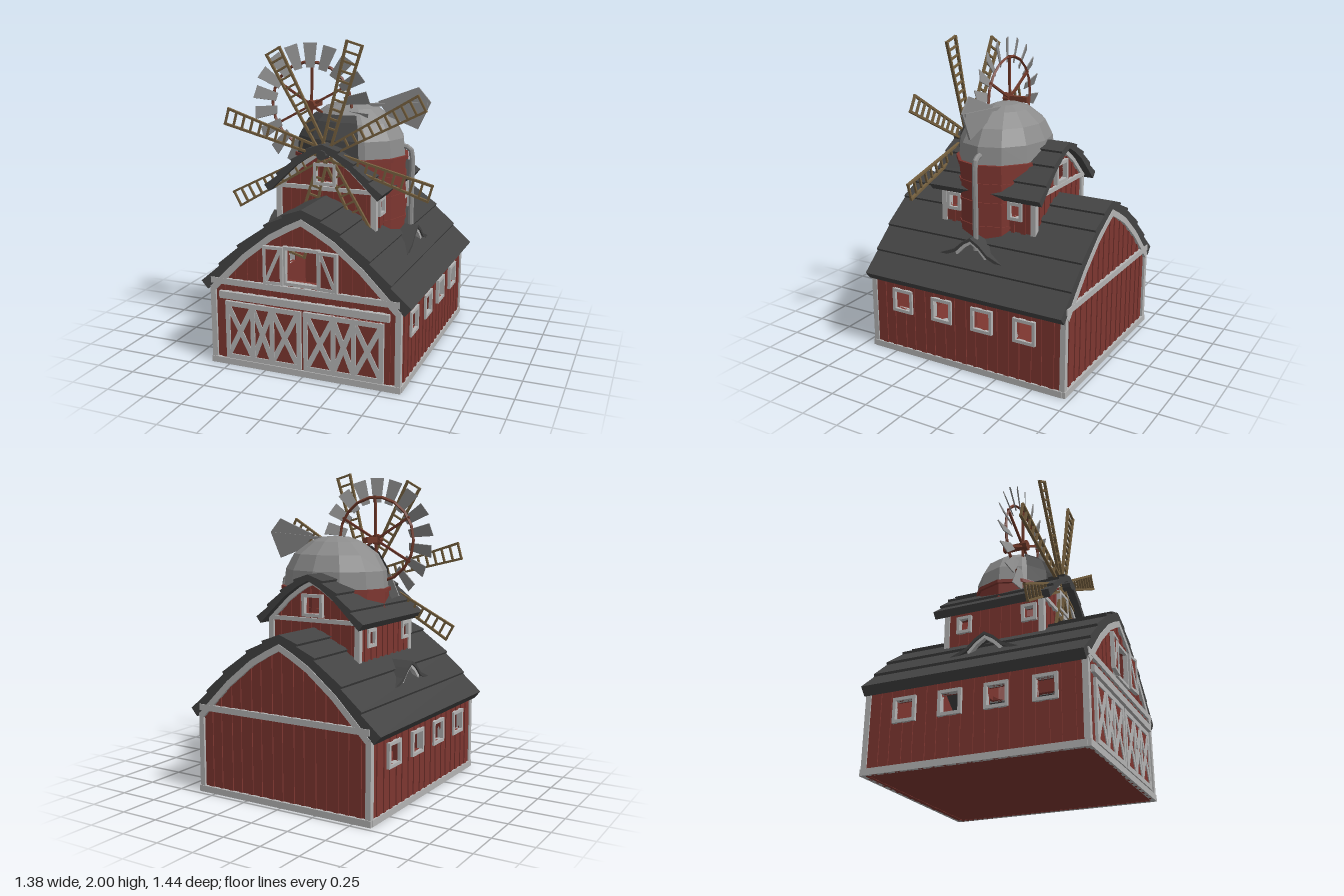
import * as THREE from 'three';

const mat = (color, extra = {}) => new THREE.MeshStandardMaterial({ color, flatShading: true, side: THREE.DoubleSide, ...extra });
const RED = mat(0x7d3630), DARK = mat(0x434343), WHITE = mat(0xb4b4b4), METAL = mat(0x8c8c8c), WOOD = mat(0x75603f), RUST = mat(0x70392a);

function add(parent, name, geometry, material, x = 0, y = 0, z = 0) {
  const m = new THREE.Mesh(geometry, material);
  m.name = name;
  m.position.set(x, y, z);
  parent.add(m);
  return m;
}
const box = (p, name, mt, w, h, d, x, y, z) => add(p, name, new THREE.BoxGeometry(w, h, d), mt, x, y, z);
const shapeOf = pts => new THREE.Shape(pts.map(([x, y]) => new THREE.Vector2(x, y)));
const rect = (x, y, w, h) => shapeOf([[x - w / 2, y - h / 2], [x + w / 2, y - h / 2], [x + w / 2, y + h / 2], [x - w / 2, y + h / 2]]);
const extrude = (shape, depth) => new THREE.ExtrudeGeometry(shape, { depth, bevelEnabled: false });
const mirrorPts = half => [...half.slice().reverse(), ...half.slice(half[0][0] === 0 ? 1 : 0).map(([x, y]) => [-x, y])];

// Move a half profile inwards along its normals
function inset(half, d) {
  return half.map(([x, y], i) => {
    if (i === 0) return [0, y - d * 1.1];
    const a = half[i - 1], b = half[Math.min(i + 1, half.length - 1)];
    const dx = b[0] - a[0], dy = b[1] - a[1], l = Math.hypot(dx, dy);
    return [x + d * dy / l, y - d * dx / l];
  });
}
function heightAt(half, x) {
  x = Math.abs(x);
  for (let i = 1; i < half.length; i++) {
    const [a, b] = [half[i - 1], half[i]];
    if (x <= b[0]) return a[1] + (b[1] - a[1]) * (x - a[0]) / (b[0] - a[0]);
  }
  return half[half.length - 1][1];
}
// Flat bar between two points in a plane of constant z
function bar(p, name, mt, x1, y1, x2, y2, width, depth, z) {
  const m = box(p, name, mt, Math.hypot(x2 - x1, y2 - y1), width, depth, (x1 + x2) / 2, (y1 + y2) / 2, z);
  m.rotation.z = Math.atan2(y2 - y1, x2 - x1);
}
function frame(p, name, [x, y, w, h], t, depth, z) {
  const s = rect(x, y, w + 2 * t, h + 2 * t);
  s.holes.push(rect(x, y, w, h));
  return add(p, name, extrude(s, depth), WHITE, 0, 0, z);
}
// Battens on a wall in the XY plane, interrupted at the windows
function battens(p, from, to, y0, top, windows, z) {
  const n = Math.round((to - from) / 0.075);
  for (let i = 1; i < n; i++) {
    const u = from + (to - from) * i / n;
    const w = windows.find(v => Math.abs(u - v[0]) < v[2] / 2 + 0.014);
    const spans = w ? [[y0, w[1] - w[3] / 2], [w[1] + w[3] / 2, top(u)]] : [[y0, top(u)]];
    for (const [a, b] of spans) if (b > a) box(p, 'batten', RED, 0.022 + 0.012 * (i % 2), b - a, 0.014, u, (a + b) / 2, z);
  }
}

function barn(name, { half, w, y0, z0, z1, r0, r1, thick, beam, t, gableWindows, sideWindows }) {
  const g = new THREE.Group();
  g.name = name;

  // Roof with a small lip at the lower edge of each course
  const lip = [];
  half.forEach((p, i) => {
    if (i) lip.push([p[0] + 0.007, p[1] + 0.014]);
    if (i < half.length - 1) lip.push(p);
  });
  const under = inset(half, thick);
  const roof = shapeOf([...mirrorPts(lip), ...mirrorPts(under).reverse()]);
  add(g, 'roof', extrude(roof, r1 - r0), DARK, 0, 0, r0);

  const eave = heightAt(under, w);
  const wallTop = [...under.filter(p => p[0] < w - 0.02), [w, eave]];
  const arch = shapeOf([...mirrorPts(wallTop), ...mirrorPts(inset(wallTop, t)).reverse()]);

  // Gable ends
  [[1, z1, gableWindows[0]], [-1, z0, gableWindows[1]]].forEach(([s, z, wins]) => {
    const wall = shapeOf([[w, y0], ...mirrorPts(wallTop), [-w, y0]]);
    wins.forEach(v => wall.holes.push(rect(...v)));
    add(g, 'gableWall', extrude(wall, 0.03), RED, 0, 0, s > 0 ? z - 0.03 : z);
    add(g, 'gableArchTrim', extrude(arch, 0.03), WHITE, 0, 0, z - 0.015 + s * 0.005);
    wins.forEach(v => frame(g, 'gableWindowFrame', v, 0.02, 0.035, z - 0.0175 + s * 0.01));
    battens(g, -w, w, y0, x => heightAt(wallTop, x) - 0.01, wins, z);
    box(g, 'gableBeam', WHITE, 2 * w, t, 0.03, 0, beam, z + s * 0.006);
    box(g, 'gableSill', WHITE, 2 * w + 0.02, 0.04, 0.03, 0, y0 + 0.02, z + s * 0.005);
    for (const e of [-1, 1]) box(g, 'cornerTrim', WHITE, 0.035, eave - y0, 0.035, e * (w - 0.01), (eave + y0) / 2, z - s * 0.002);
  });

  // Side walls, laid out in (z, y) and turned outwards
  for (const s of [-1, 1]) {
    const side = new THREE.Group();
    side.name = s > 0 ? 'leftWall' : 'rightWall';
    side.rotation.y = -Math.PI / 2;
    side.position.x = s * w;
    const wall = shapeOf([[z0, y0], [z1, y0], [z1, eave], [z0, eave]]);
    sideWindows.forEach(v => wall.holes.push(rect(...v)));
    add(side, 'sideWall', extrude(wall, 0.03), RED, 0, 0, s > 0 ? 0 : -0.03);
    sideWindows.forEach(v => frame(side, 'windowFrame', v, 0.02, 0.04, -0.02));
    battens(side, z0, z1, y0, () => eave, sideWindows, 0);
    box(side, 'sideSill', WHITE, z1 - z0, 0.04, 0.026, (z0 + z1) / 2, y0 + 0.02, 0);
    g.add(side);
  }
  return g;
}

function barnDoors() {
  const g = new THREE.Group();
  g.name = 'barnDoors';
  const y0 = 0.045, y1 = 0.42;
  box(g, 'doorTrack', WHITE, 1.1, 0.045, 0.03, 0, 0.46, 0.68);
  for (const s of [-1, 1]) {
    box(g, 'doorPanel', RED, 0.5, y1 - y0, 0.02, s * 0.26, (y0 + y1) / 2, 0.67);
    for (const y of [y0 + 0.015, y1 - 0.015]) box(g, 'doorRail', WHITE, 0.5, 0.03, 0.02, s * 0.26, y, 0.678);
    for (const x of [0.022, 0.2, 0.33, 0.5]) box(g, 'doorStile', WHITE, 0.028, y1 - y0, 0.02, s * x, (y0 + y1) / 2, 0.678);
    for (const [a, b] of [[0.03, 0.2], [0.2, 0.33], [0.33, 0.5]]) {
      bar(g, 'doorBrace', WHITE, s * a, y0 + 0.02, s * b, y1 - 0.02, 0.032, 0.018, 0.677);
      bar(g, 'doorBrace', WHITE, s * a, y1 - 0.02, s * b, y0 + 0.02, 0.032, 0.018, 0.677);
    }
    // Open loft shutter
    const shutter = new THREE.Group();
    shutter.name = 'loftShutter';
    shutter.position.set(s * 0.115, 0.695, 0.695);
    shutter.rotation.y = -s * 0.08;
    box(shutter, 'shutterPanel', RED, 0.12, 0.23, 0.01, s * 0.06, 0, 0);
    frame(shutter, 'shutterFrame', [s * 0.06, 0, 0.09, 0.2], 0.018, 0.024, -0.012);
    bar(shutter, 'shutterBrace', WHITE, s * 0.015, 0.1, s * 0.105, -0.1, 0.022, 0.02, 0);
    g.add(shutter);
  }
  return g;
}

// Eight lattice sails around a hub
function sails() {
  const g = new THREE.Group();
  g.name = 'sails';
  g.position.set(0, 1.31, 0.318);
  for (let i = 0; i < 8; i++) {
    const sail = new THREE.Group();
    sail.name = 'sail';
    sail.rotation.z = THREE.MathUtils.degToRad(29 + i * 45);
    for (const s of [-1, 1]) bar(sail, 'sailRail', WOOD, 0.03, s * 0.026, 0.7, s * 0.05, 0.014, 0.018, 0);
    for (let k = 0; k < 10; k++) {
      const r = 0.16 + k * 0.0593;
      box(sail, 'sailRung', WOOD, 0.012, 0.058 + 0.042 * r / 0.7, 0.014, r, 0, 0);
    }
    g.add(sail);
  }
  add(g, 'sailHub', new THREE.CylinderGeometry(0.032, 0.036, 0.1, 8).rotateX(Math.PI / 2), DARK, 0, 0, 0.012);
  return g;
}

// Many-bladed wind wheel
function windWheel() {
  const g = new THREE.Group();
  g.name = 'windWheel';
  g.position.set(-0.175, 1.57, 0.127);
  const blade = extrude(shapeOf([[0.235, -0.026], [0.39, -0.043], [0.39, 0.043], [0.235, 0.026]]), 0.006);
  for (let i = 0; i < 18; i++) {
    const arm = new THREE.Group();
    arm.name = 'wheelBlade';
    arm.rotation.z = i * Math.PI / 9 + Math.PI / 18;
    add(arm, 'blade', blade, METAL).rotation.x = 0.4;
    g.add(arm);
  }
  for (let i = 0; i < 6; i++) {
    const a = i * Math.PI / 3 + 0.5;
    bar(g, 'wheelSpoke', RUST, 0, 0, 0.28 * Math.cos(a), 0.28 * Math.sin(a), 0.014, 0.014, -0.015);
  }
  add(g, 'wheelRing', new THREE.TorusGeometry(0.27, 0.01, 4, 18), RUST, 0, 0, -0.015);
  add(g, 'wheelHub', new THREE.CylinderGeometry(0.035, 0.035, 0.04, 8).rotateX(Math.PI / 2), RUST);
  box(g, 'wheelAxle', RUST, 0.035, 0.035, 0.15, 0, 0, -0.075);
  return g;
}

function tower() {
  const g = new THREE.Group();
  g.name = 'tower';
  g.position.x = 0.055;
  const lathe = (name, pts, mt, start = 0, len = Math.PI * 2, n = 12) => {
    const m = add(g, name, new THREE.LatheGeometry(pts.map(p => new THREE.Vector2(...p)), n, start, len), mt);
    m.scale.set(0.36, 1, 0.285);
    return m;
  };
  lathe('towerWall', [[1, 0.7], [1, 1.27]], RED);
  for (const y of [0.87, 1.02, 1.14]) lathe('towerBand', [[1, y], [1.02, y], [1.02, y + 0.015], [1, y + 0.015]], RED);
  lathe('towerRim', [[0.9, 1.25], [1.05, 1.25], [1.05, 1.272], [0.9, 1.272]], RED);
  lathe('dome', [[0.99, 1.27], [0.96, 1.38], [0.8, 1.48], [0.48, 1.56], [0.25, 1.588], [0, 1.592]], METAL);
  // Dark shutter over the front of the dome
  lathe('domeShutter', [[1.03, 1.275], [1, 1.385], [0.83, 1.49], [0.68, 1.53], [0.6, 1.5]], DARK, -0.95, 1.35, 3);
  return g;
}

export function createModel() {
  const model = new THREE.Group();
  model.name = 'windmillBarn';

  model.add(barn('mainBarn', {
    half: [[0, 1.045], [0.12, 0.985], [0.24, 0.915], [0.42, 0.77], [0.55, 0.64], [0.672, 0.515]],
    w: 0.61, y0: 0, z0: -0.7, z1: 0.665, r0: -0.715, r1: 0.68, thick: 0.05, beam: 0.545, t: 0.038,
    gableWindows: [[[0, 0.695, 0.2, 0.2]], []],
    sideWindows: [0.435, 0.14, -0.15, -0.445].map(z => [z, 0.365, 0.11, 0.115])
  }));
  box(model, 'floor', RED, 1.2, 0.02, 1.36, 0, 0.012, -0.018);
  model.add(barnDoors());

  model.add(barn('upperLoft', {
    half: [[0, 1.375], [0.1, 1.325], [0.2, 1.255], [0.3, 1.16], [0.382, 1.08]],
    w: 0.325, y0: 0.72, z0: -0.345, z1: 0.3, r0: -0.415, r1: 0.37, thick: 0.035, beam: 1.09, t: 0.026,
    gableWindows: [[[0, 1.18, 0.11, 0.1]], [[0, 1.18, 0.11, 0.1]]],
    sideWindows: [0.22, -0.22].map(z => [z, 0.99, 0.06, 0.075])
  }));
  model.add(tower(), sails(), windWheel());

  // Flared dormers on both slopes
  const flare = [[0, 0.83], [0.06, 0.795], [0.12, 0.74], [0.22, 0.7]];
  const cap = shapeOf([...mirrorPts(flare), ...mirrorPts(flare.map(([x, y]) => [x * 0.97, y - 0.02])).reverse()]);
  const trim = flare.slice(0, 3).map(([x, y]) => [x * 0.95, y - 0.02]);
  const dormerTrim = shapeOf([...mirrorPts(trim), ...mirrorPts(trim.map(([x, y]) => [x * 0.9, y - 0.02])).reverse()]);
  for (const s of [-1, 1]) {
    const d = new THREE.Group();
    d.name = 'dormer';
    d.rotation.y = s * Math.PI / 2;
    add(d, 'dormerRoof', extrude(cap, 0.2), DARK, 0, 0, 0.305);
    add(d, 'dormerTrim', extrude(dormerTrim, 0.03), WHITE, 0, 0, 0.465);
    model.add(d);
  }

  // Vent pipe beside the tower
  const path = new THREE.CatmullRomCurve3([[0.34, 1.325], [0.41, 1.325], [0.442, 1.31], [0.452, 1.27], [0.452, 1.0], [0.452, 0.74]]
    .map(([x, y]) => new THREE.Vector3(x, y, -0.01)));
  add(model, 'ventPipe', new THREE.TubeGeometry(path, 24, 0.018, 8), METAL);

  // Tail vane with its boom
  const vane = shapeOf([[0.23, 1.6], [0.49, 1.7], [0.57, 1.61], [0.49, 1.44], [0.3, 1.51]]);
  add(model, 'tailVane', extrude(vane, 0.012), METAL, 0, 0, -0.006);
  bar(model, 'tailBoom', METAL, 0.1, 1.57, 0.55, 1.6, 0.02, 0.032, 0);
  return model;
}
